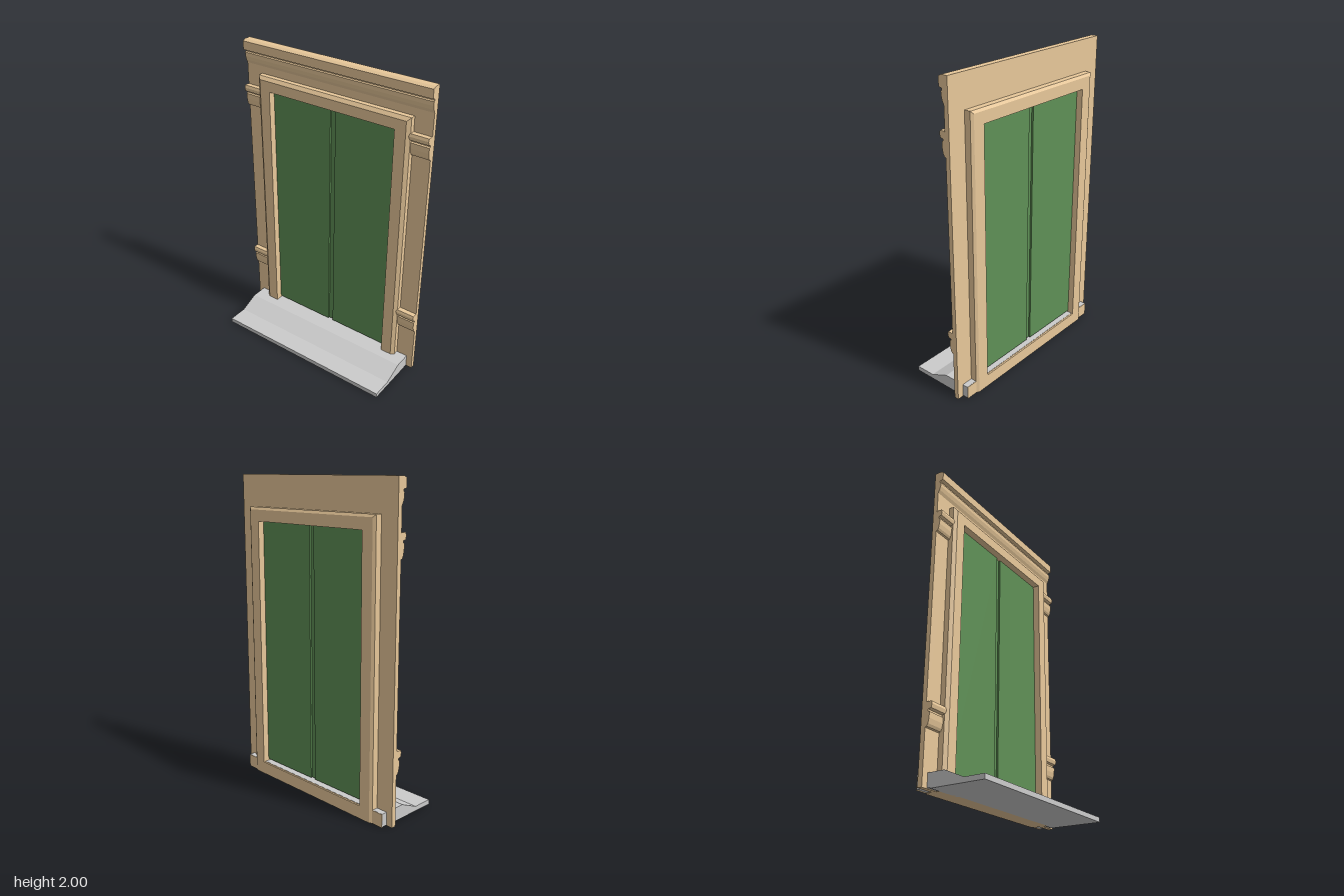
import * as THREE from 'three';

const wood = new THREE.MeshStandardMaterial({ color: 0xe8c89a });
const green = new THREE.MeshStandardMaterial({ color: 0x5f9056 });
const stone = new THREE.MeshStandardMaterial({ color: 0xcccccc });

// Extrudes an x,y outline along z from z0 to z1
function profile(name, points, z0, z1, material) {
  const shape = new THREE.Shape(points.map(([x, y]) => new THREE.Vector2(x, y)));
  const geo = new THREE.ExtrudeGeometry(shape, { depth: z1 - z0, bevelEnabled: false });
  geo.translate(0, 0, z0);
  const mesh = new THREE.Mesh(geo, material);
  mesh.name = name;
  return mesh;
}

function box(name, x0, x1, y0, y1, z0, z1, material) {
  const geo = new THREE.BoxGeometry(x1 - x0, y1 - y0, z1 - z0);
  geo.translate((x0 + x1) / 2, (y0 + y1) / 2, (z0 + z1) / 2);
  const mesh = new THREE.Mesh(geo, material);
  mesh.name = name;
  return mesh;
}

// Joins rectangular rings [x, halfWidth, bottom, top] into a closed frame
function ringFrame(name, rings, material) {
  const corners = rings.map(([x, w, y0, y1]) =>
    [[x, y0, -w], [x, y0, w], [x, y1, w], [x, y1, -w]]);
  const pos = [];
  corners.forEach((a, r) => {
    const b = corners[(r + 1) % corners.length];
    for (let i = 0; i < 4; i++) {
      const j = (i + 1) % 4;
      pos.push(...a[i], ...b[i], ...a[j], ...b[i], ...b[j], ...a[j]);
    }
  });
  const geo = new THREE.BufferGeometry();
  geo.setAttribute('position', new THREE.Float32BufferAttribute(pos, 3));
  geo.computeVertexNormals();
  const mesh = new THREE.Mesh(geo, material);
  mesh.name = name;
  return mesh;
}

// Small bracket moulding, listed downwards from its top edge
const bracket = (top) => [
  [0.14, 0], [0.138, 0.005], [0.105, 0.005], [0.1, -0.012], [0.105, -0.035],
  [0.125, -0.04], [0.125, -0.05], [0.115, -0.055], [0.116, -0.09],
  [0.122, -0.12], [0.13, -0.135], [0.14, -0.14],
].map(([x, y]) => [x, top + y]);

export function createModel() {
  const model = new THREE.Group();

  // Header with moulded cornice
  model.add(profile('header', [
    [0.17, 1.77], [0.17, 2], [0.128, 2], [0.107, 1.99], [0.107, 1.935],
    [0.13, 1.93], [0.13, 1.92], [0.122, 1.915], [0.123, 1.89],
    [0.13, 1.865], [0.14, 1.845], [0.14, 1.77],
  ], -0.665, 0.665, wood));

  // Side boards with two bracket mouldings each
  const board = [
    [0.17, 0], [0.17, 1.77], [0.14, 1.77],
    ...bracket(1.7), ...bracket(0.46), [0.14, 0],
  ];
  for (const [name, z0] of [['leftBoard', 0.53], ['rightBoard', -0.665]]) {
    model.add(profile(name, board, z0, z0 + 0.135, wood));
  }

  // Window frame, chamfered around its outer edges
  model.add(ringFrame('windowFrame', [
    [0.09, 0.525, 0.01, 1.777], [0.107, 0.547, 0, 1.798],
    [0.21, 0.547, 0, 1.798], [0.221, 0.53, 0, 1.782],
    [0.221, 0.452, 0.082, 1.71], [0.09, 0.452, 0.082, 1.71],
  ], wood));

  // Sloping sill and its facing board
  model.add(profile('sill', [
    [-0.225, 0], [0.12, 0], [0.12, 0.004], [0.208, 0.004], [0.208, 0.085],
    [0.03, 0.085], [-0.095, 0.03], [-0.225, 0.03],
  ], -0.623, 0.623, stone));
  model.add(box('sillFacing', 0.206, 0.211, 0, 0.084, -0.623, 0.623, wood));

  // Pair of shutters meeting at a recessed strip
  model.add(box('leftShutter', 0.135, 0.18, 0.096, 1.712, 0.018, 0.455, green));
  model.add(box('rightShutter', 0.135, 0.18, 0.096, 1.712, -0.455, -0.018, green));
  model.add(box('meetingStrip', 0.147, 0.168, 0.096, 1.712, -0.02, 0.02, green));

  return model;
}
